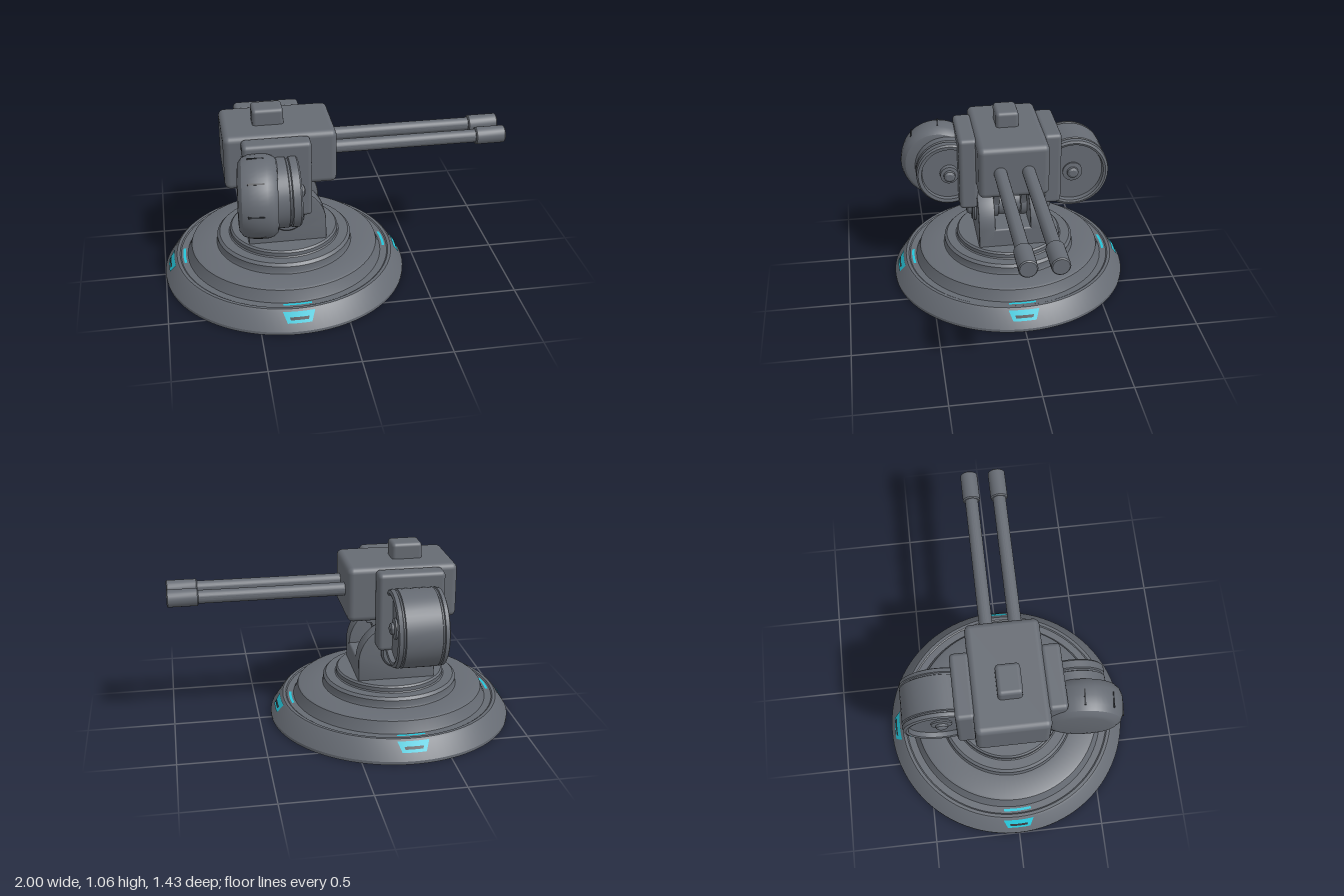
import * as THREE from 'three';
import { toCreasedNormals } from 'three/addons/utils/BufferGeometryUtils.js';
import { RoundedBoxGeometry } from 'three/addons/geometries/RoundedBoxGeometry.js';

const CX = -0.287; // turret axis

export function createModel() {
  const grey = new THREE.MeshStandardMaterial({ color: 0x666b73 });
  const cyan = new THREE.MeshStandardMaterial({ color: 0x26c6da });
  const dark = new THREE.MeshStandardMaterial({ color: 0x33363b });
  grey.name = 'gunmetal';
  cyan.name = 'cyan light';
  dark.name = 'dark slot';

  const model = new THREE.Group();
  model.name = 'turret';

  const add = (name, geo, x = 0, y = 0, z = 0, mat = grey, parent = model) => {
    const mesh = new THREE.Mesh(geo, mat);
    mesh.name = name;
    mesh.position.set(x, y, z);
    parent.add(mesh);
    return mesh;
  };
  const lathe = (pts, seg = 48) => toCreasedNormals(
    new THREE.LatheGeometry(pts.map(([r, y]) => new THREE.Vector2(r, y)), seg), 0.5);
  const alongX = (pts, seg) => lathe(pts, seg).rotateZ(-Math.PI / 2);
  const alongZ = (pts, seg) => lathe(pts, seg).rotateX(Math.PI / 2);
  const box = (w, h, d, r) => new RoundedBoxGeometry(w, h, d, 3, r);
  const rod = (r, a, b, c = 0.006) =>
    [[0, a], [r - c, a], [r, a + c], [r, b - c], [r - c, b], [0, b]];

  // Stepped base
  add('base', lathe([
    [0, 0], [0.713, 0], [0.713, 0.018], [0.652, 0.112], [0.64, 0.122], [0.622, 0.122],
    [0.615, 0.117], [0.575, 0.117], [0.568, 0.13], [0.548, 0.183], [0.535, 0.19],
    [0.4, 0.19], [0.395, 0.2], [0.395, 0.235], [0.38, 0.25], [0.325, 0.25],
    [0.318, 0.256], [0.318, 0.278], [0.308, 0.288], [0, 0.288],
  ], 96), CX);

  // Curved patch on a cone: [halfWidth, radius, y] at the lower and upper edge
  const patch = (lo, hi) => {
    const geo = new THREE.PlaneGeometry(2, 1, 10, 1);
    const p = geo.attributes.position;
    for (let i = 0; i < p.count; i++) {
      const t = p.getY(i) + 0.5;
      const [w, r, y] = lo.map((v, k) => v + (hi[k] - v) * t);
      const a = p.getX(i) * w / r;
      p.setXYZ(i, r * Math.sin(a), y, r * Math.cos(a));
    }
    geo.computeVertexNormals();
    return geo;
  };
  // Marker lights on four sides of the base
  for (let i = 0; i < 4; i++) {
    const light = new THREE.Group();
    light.name = 'markerLight';
    light.position.x = CX;
    light.rotation.y = i * Math.PI / 2;
    add('lightPanel', patch([0.068, 0.691, 0.06], [0.09, 0.656, 0.114]), 0, 0, 0, cyan, light);
    add('lightSlot', patch([0.05, 0.684, 0.076], [0.055, 0.675, 0.09]), 0, 0, 0, dark, light);
    add('innerLight', patch([0.08, 0.603, 0.12], [0.08, 0.588, 0.12]), 0, 0, 0, cyan, light);
    model.add(light);
  }

  // Yoke: foot block with two round-topped ears and pivot bosses
  add('yokeFoot', box(0.45, 0.125, 0.4, 0.012), CX, 0.34, 0);
  const ear = new THREE.Shape();
  ear.moveTo(-0.215, 0.29);
  ear.lineTo(0.215, 0.29);
  ear.lineTo(0.215, 0.4);
  ear.absarc(0, 0.4, 0.215, 0, Math.PI, false);
  const earGeo = toCreasedNormals(new THREE.ExtrudeGeometry(ear, {
    depth: 0.08, bevelSize: 0.01, bevelThickness: 0.01, bevelSegments: 2, curveSegments: 24,
  }), 0.5);
  // Fork arm joining the pivot drum to the head
  const arm = new THREE.Shape();
  arm.moveTo(-0.08, 0.46);
  arm.lineTo(0.08, 0.46);
  arm.quadraticCurveTo(0.1, 0.58, 0.17, 0.66);
  arm.lineTo(-0.17, 0.66);
  arm.quadraticCurveTo(-0.1, 0.58, -0.08, 0.46);
  const armGeo = toCreasedNormals(
    new THREE.ExtrudeGeometry(arm, { depth: 0.035, bevelEnabled: false }), 0.5);
  const boss = alongZ([
    [0, 0], [0.095, 0], [0.095, 0.02], [0.085, 0.03], [0.056, 0.03],
    [0.052, 0.048], [0.04, 0.06], [0, 0.062],
  ]);
  for (const s of [1, -1]) {
    add('yokeEar', earGeo, CX, 0, s * 0.155 - 0.04);
    add('forkArm', armGeo, CX, 0, s * 0.0825 - 0.0175);
    add('pivotBoss', boss, CX, 0.46, s * 0.197).rotation.y = s > 0 ? 0 : Math.PI;
  }
  add('pivotDrum', alongZ([
    [0, -0.105], [0.09, -0.105], [0.09, -0.07], [0.08, -0.065],
    [0.08, 0.065], [0.09, 0.07], [0.09, 0.105], [0, 0.105],
  ]), CX, 0.473, 0);
  add('neckBridge', box(0.32, 0.07, 0.2, 0.01), CX, 0.635, 0);

  // Head with top sight and side plates
  add('head', box(0.63, 0.32, 0.415, 0.035), -0.315, 0.81, 0);
  add('topSight', box(0.176, 0.13, 0.136, 0.022), -0.367, 0.996, 0);
  for (const s of [1, -1])
    add('sidePlate', box(0.38, 0.455, 0.11, 0.025), -0.345, 0.732, s * 0.25);

  // Twin barrels with thicker muzzles
  for (const s of [1, -1]) {
    add('barrel', alongX(rod(0.038, -0.03, 0.85), 24), 0, 0.815, s * 0.082);
    add('muzzle', alongX(rod(0.05, 0.825, 1.0), 24), 0, 0.815, s * 0.082);
  }

  // Rear drum, recessed faces with hubs
  const half = [
    [0.06, 0.112], [0.06, 0.122], [0.035, 0.126], [0.033, 0.14], [0.02, 0.148], [0, 0.148],
  ];
  const rim = [
    [0.22, 0.1], [0.213, 0.104], [0.213, 0.112], [0.22, 0.116], [0.215, 0.138],
    [0.2, 0.145], [0.187, 0.14], [0.183, 0.112], ...half,
  ];
  const mirrored = rim.map(([r, y]) => [r, -y]).reverse();
  add('rearDrum', alongX([...mirrored, ...rim]), -0.348, 0.672, -0.386);

  // Front drum: bulging casing and a narrower disc with hub
  const front = new THREE.Group();
  front.name = 'frontDrum';
  front.position.set(-0.465, 0.71, 0.4);
  front.rotation.y = -0.09;
  model.add(front);
  add('drumCasing', alongX([
    [0, -0.11], [0.15, -0.11], [0.185, -0.105], [0.212, -0.085], [0.226, -0.05], [0.23, 0],
    [0.228, 0.05], [0.218, 0.08], [0.2, 0.1], [0.18, 0.106], [0, 0.106],
  ]), 0, 0, 0, grey, front);
  for (let i = 0; i < 8; i++) {
    const a = i * Math.PI / 4;
    const slot = add('casingSlot', new THREE.BoxGeometry(0.09, 0.009, 0.008),
      -0.01, 0.2275 * Math.sin(a), 0.2275 * Math.cos(a), dark, front);
    slot.rotation.x = -a;
  }
  add('drumDisc', alongX([
    [0, -0.08], [0.195, -0.08], [0.195, 0.025], [0.185, 0.03], [0.185, 0.04], [0.195, 0.045],
    [0.195, 0.085], [0.185, 0.095], [0.165, 0.092], [0.16, 0.07], [0.055, 0.07],
    [0.053, 0.1], [0.035, 0.104], [0.033, 0.122], [0.02, 0.13], [0, 0.13],
  ]), -0.335, 0.7, 0.357);

  return model;
}
